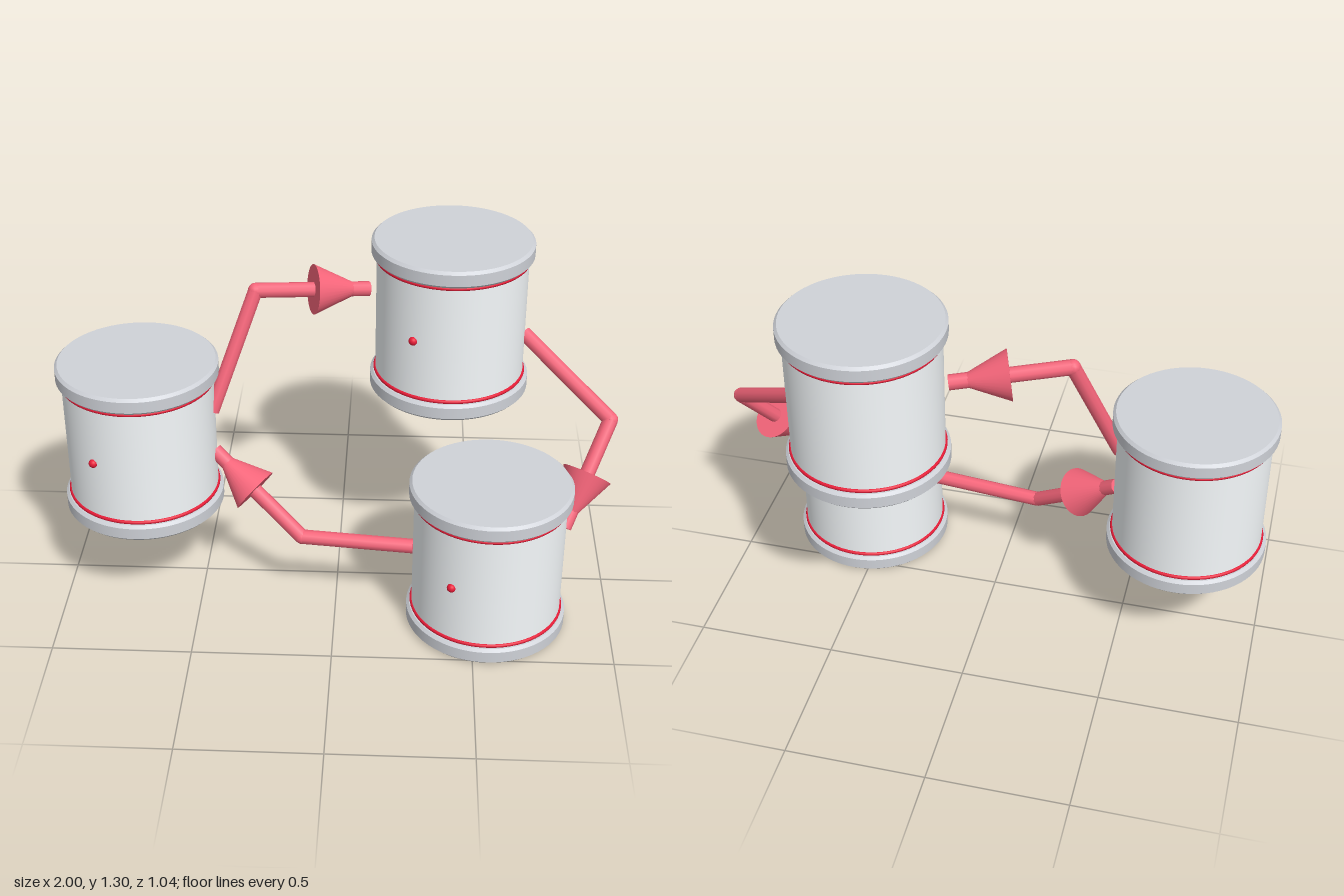
import * as THREE from 'three';

const R = 0.27, CAP_R = 0.289, H = 0.583, CAP_H = 0.062, BEVEL = 0.01;
const TUBE_R = 0.027, HEAD_R = 0.09, HEAD_L = 0.2;

const paint = (color) => new THREE.MeshStandardMaterial({ color });
const bodyMat = paint(0xf5f9fb);
const capMat = paint(0xcfd2d8);
const trimMat = paint(0xe81c38);
const arrowMat = paint(0xf7667b);

function add(parent, name, geometry, material, x = 0, y = 0, z = 0) {
  const mesh = new THREE.Mesh(geometry, material);
  mesh.name = name;
  mesh.position.set(x, y, z);
  parent.add(mesh);
  return mesh;
}

// Flat disc with small bevels; each profile edge is its own lathe strip so edges stay sharp
function addCap(parent, name, y) {
  const cap = new THREE.Group();
  cap.name = name;
  cap.position.y = y;
  const profile = [[0, 0], [CAP_R - BEVEL, 0], [CAP_R, BEVEL], [CAP_R, CAP_H - BEVEL],
    [CAP_R - BEVEL, CAP_H], [0, CAP_H]].map(([r, h]) => new THREE.Vector2(r, h));
  for (let i = 0; i < profile.length - 1; i++) {
    add(cap, 'capSurface', new THREE.LatheGeometry([profile[i], profile[i + 1]], 64), capMat);
  }
  parent.add(cap);
}

// Canister: body, two caps, two trim rings and a small button on the front
function makeDrum(name, x, y, z) {
  const drum = new THREE.Group();
  drum.name = name;
  drum.position.set(x, y, z);
  add(drum, 'body', new THREE.CylinderGeometry(R, R, H - CAP_H, 64), bodyMat, 0, H / 2, 0);
  addCap(drum, 'bottomCap', 0);
  addCap(drum, 'topCap', H - CAP_H);
  for (const h of [0.069, H - 0.069]) {
    const ring = add(drum, 'trimRing', new THREE.TorusGeometry(R, 0.007, 8, 64), trimMat, 0, h, 0);
    ring.rotation.x = Math.PI / 2;
  }
  const a = THREE.MathUtils.degToRad(120);
  add(drum, 'button', new THREE.SphereGeometry(0.016, 16, 12), trimMat,
    R * Math.cos(a), H / 2, R * Math.sin(a));
  return drum;
}

// Places a y-aligned mesh so that it is centred between two points
function span(mesh, from, to) {
  mesh.position.lerpVectors(from, to, 0.5);
  mesh.quaternion.setFromUnitVectors(new THREE.Vector3(0, 1, 0), to.clone().sub(from).normalize());
}

// Bent rod with a cone head near its far end
function makeArrow(name, ...points) {
  const arrow = new THREE.Group();
  arrow.name = name;
  const [start, bend, end] = points.map((p) => new THREE.Vector3(...p));
  for (const [from, to] of [[start, bend], [bend, end]]) {
    const length = from.distanceTo(to);
    span(add(arrow, 'rod', new THREE.CylinderGeometry(TUBE_R, TUBE_R, length, 10), arrowMat), from, to);
  }
  add(arrow, 'elbow', new THREE.SphereGeometry(TUBE_R, 12, 10), arrowMat, ...bend.toArray());

  const dir = end.clone().sub(bend).normalize();
  const base = end.clone().addScaledVector(dir, -0.207);
  const tip = base.clone().addScaledVector(dir, HEAD_L);
  span(add(arrow, 'arrowHead', new THREE.ConeGeometry(HEAD_R, HEAD_L, 32), arrowMat), base, tip);
  return arrow;
}

export function createModel() {
  const model = new THREE.Group();
  model.name = 'drumCycle';
  model.add(
    makeDrum('rightDrum', -0.711, 0.339, 0.018),
    makeDrum('topDrum', 0.398, 0.717, -0.234),
    makeDrum('lowerDrum', 0.551, 0, 0.232),
    makeArrow('upperArrow', [-0.45, 0.718, 0.018], [-0.295, 1.137, -0.112], [0.103, 1.092, -0.235]),
    makeArrow('sideArrow', [0.665, 0.932, -0.222], [0.973, 0.716, 0.013], [0.814, 0.398, 0.234]),
    makeArrow('lowerArrow', [0.282, 0.293, 0.226], [-0.122, 0.293, 0.185], [-0.447, 0.55, 0.02]),
  );
  return model;
}
